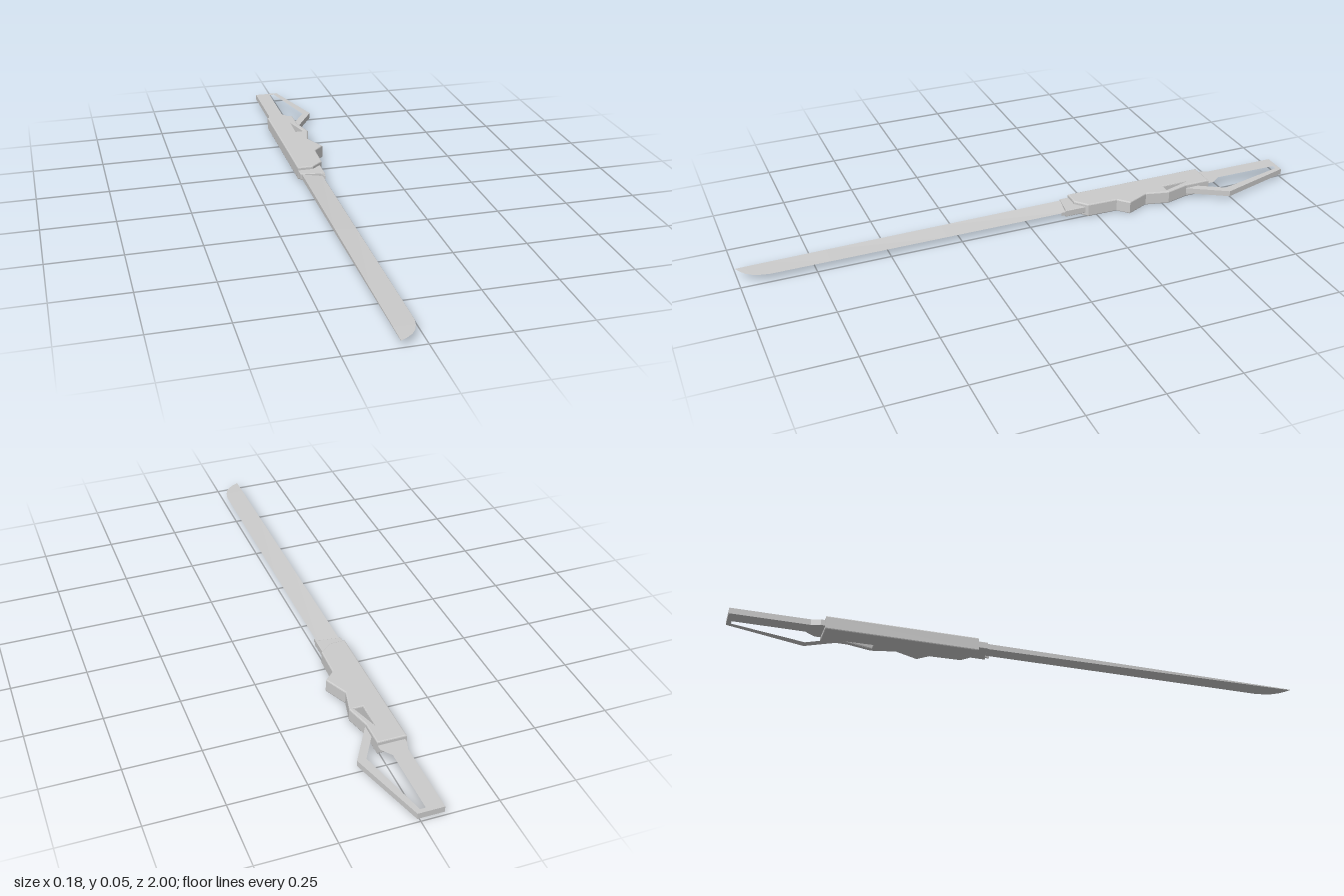
import * as THREE from 'three';

const material = new THREE.MeshStandardMaterial({ color: 0xcccccc, flatShading: true });
const MID = 0.0235; // height of the centre plane

// Flat plate from an [x, z] outline, lying between heights y0 and y1
function plate(name, outline, y0, y1, bevel = 0, holes = []) {
  const toPoints = (list) => list.map(([x, z]) => new THREE.Vector2(x, -z));
  const shape = new THREE.Shape(toPoints(outline));
  for (const hole of holes) shape.holes.push(new THREE.Path(toPoints(hole)));
  const geometry = new THREE.ExtrudeGeometry(shape, {
    depth: y1 - y0 - 2 * bevel,
    bevelEnabled: bevel > 0,
    bevelThickness: bevel,
    bevelSize: bevel,
    bevelOffset: -bevel,
    bevelSegments: 2,
  });
  geometry.rotateX(-Math.PI / 2).translate(0, y0 + bevel, 0);
  const mesh = new THREE.Mesh(geometry, material);
  mesh.name = name;
  return mesh;
}

// Wedge blade: thick spine on the right, sharp edge on the left, thinning to the tip
function blade() {
  const spine = -0.082;
  const sections = [ // z, edge x, half thickness of the spine
    [-0.16, -0.01, 0.0095], [0.3, -0.01, 0.0065], [0.7, -0.01, 0.0035], [0.9, -0.01, 0.002],
    [0.93, -0.016, 0.0018], [0.955, -0.026, 0.0015], [0.975, -0.041, 0.0013],
    [0.99, -0.062, 0.001], [1, -0.08, 0.0008],
  ];
  const positions = [];
  const index = [];
  for (const [z, edge, half] of sections) {
    positions.push(spine, MID + half, z, edge, MID, z, spine, MID - half, z);
  }
  for (let i = 0; i < sections.length - 1; i++) {
    for (let j = 0; j < 3; j++) {
      const a = i * 3 + j, b = i * 3 + (j + 1) % 3;
      index.push(a, a + 3, b, b, a + 3, b + 3);
    }
  }
  const last = (sections.length - 1) * 3;
  index.push(0, 1, 2, last, last + 2, last + 1);
  const geometry = new THREE.BufferGeometry();
  geometry.setAttribute('position', new THREE.Float32BufferAttribute(positions, 3));
  geometry.setIndex(index);
  geometry.computeVertexNormals();
  const mesh = new THREE.Mesh(geometry, material);
  mesh.name = 'blade';
  return mesh;
}

export function createModel() {
  const group = new THREE.Group();
  group.name = 'sword';

  // Grip casing with finger ridges and a small triangular opening
  group.add(plate('gripCasing', [
    [-0.09, -0.695], [0.008, -0.695], [0.008, -0.605], [0.03, -0.522], [0.01, -0.44],
    [0.046, -0.36], [0.01, -0.325], [0.007, -0.217], [-0.035, -0.18], [-0.09, -0.18],
  ], 0, 0.047, 0.004, [[[-0.016, -0.62], [-0.016, -0.522], [0.013, -0.522]]]));

  // Pommel bar with the angular hand loop
  group.add(plate('pommelLoop', [
    [-0.074, -1], [0.012, -1], [0.09, -0.737], [0.01, -0.603], [0.004, -0.603],
    [0.004, -0.64], [-0.084, -0.64], [-0.084, -0.71], [-0.074, -0.74],
  ], 0.0135, 0.0335, 0, [[
    [-0.02, -0.985], [-0.002, -0.985], [0.06, -0.737], [0.006, -0.648],
    [0.006, -0.715], [-0.02, -0.75],
  ]]));

  // Collar holding the blade, with a small stop at the cutting edge
  group.add(plate('collar', [
    [-0.088, -0.24], [-0.002, -0.24], [-0.002, -0.132], [-0.016, -0.138], [-0.088, -0.148],
  ], 0.0115, 0.0355, 0.002));
  group.add(plate('edgeStop', [
    [-0.018, -0.15], [-0.004, -0.15], [-0.004, -0.118],
  ], 0.0175, 0.0295));

  group.add(blade());
  return group;
}
